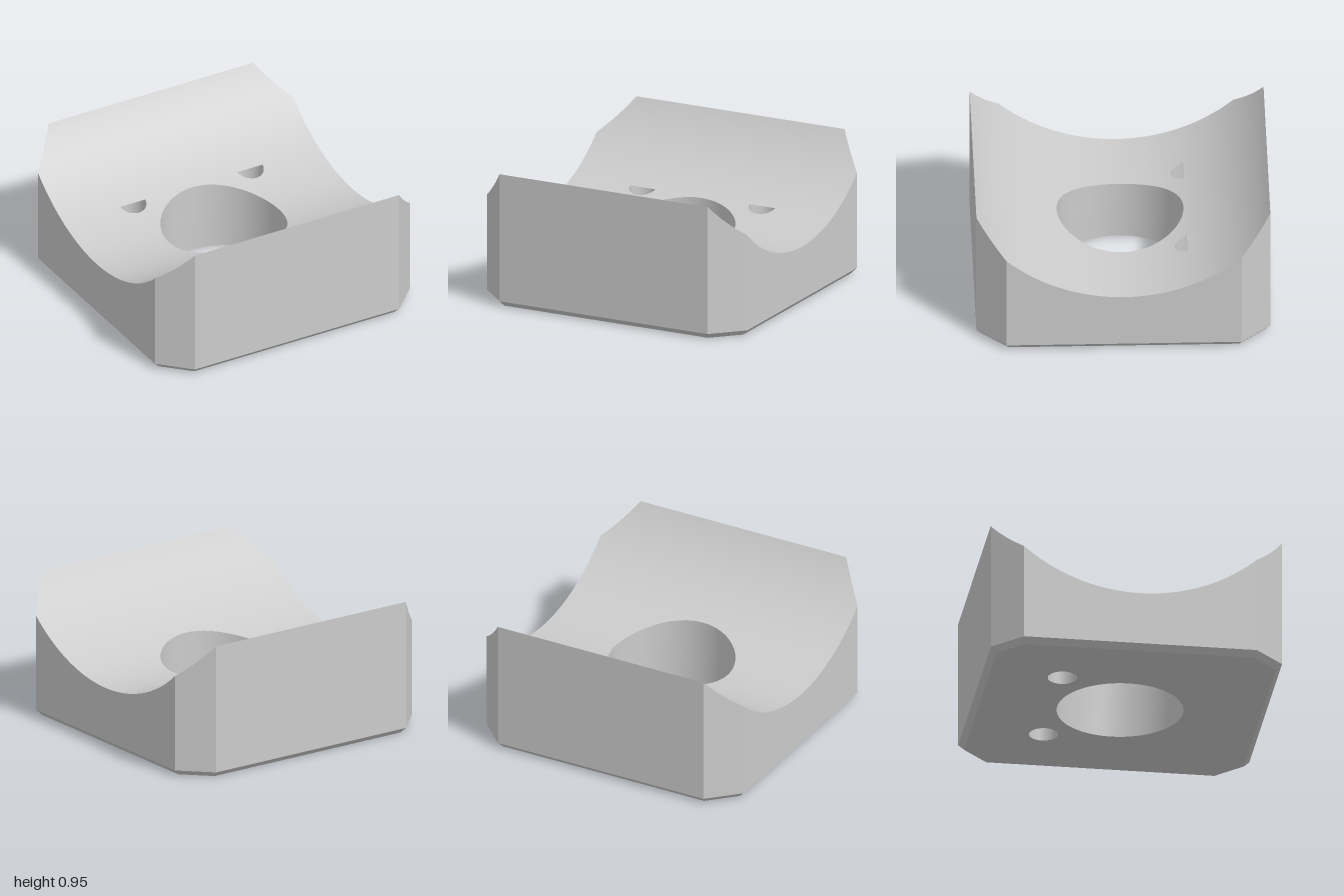
import * as THREE from 'three';
import { mergeGeometries, mergeVertices } from 'three/addons/utils/BufferGeometryUtils.js';

const LOW = 0.415, R = 1.208, YC = LOW + R;          // cylindrical cradle
const CHAMFER = 0.04, CORNER = 0.2;                  // bottom bevel, cut corners
const BORE = 0.432;                                  // central through hole
const PIN = { x: 0.46, z: -0.46, r: 0.1, depth: 0.5 }; // blind holes from below
const PIN_EDGE = -Math.sqrt(R * R - (YC - PIN.depth) ** 2); // where cradle meets the pin hole ends

const cradleY = z => YC - Math.sqrt(R * R - z * z);
const v = (x, y, z) => new THREE.Vector3(x, y, z);
const chord = (r, d) => Math.sqrt(Math.max(0, r * r - d * d));

// Ruled strip between two point rows; faces along (row direction) x (a to b)
function strip(a, b, smooth = false) {
  const pos = [];
  for (let i = 0; i < a.length - 1; i++) {
    for (const p of [a[i], a[i + 1], b[i + 1], a[i], b[i + 1], b[i]]) pos.push(p.x, p.y, p.z);
  }
  let g = new THREE.BufferGeometry();
  g.setAttribute('position', new THREE.Float32BufferAttribute(pos, 3));
  if (smooth) g = mergeVertices(g, 1e-5);
  g.computeVertexNormals();
  return g;
}

// Octagonal plan, anticlockwise from above, inset from the full size
function octagon(inset) {
  const w = 1 - inset, c = 1 - CORNER - inset * Math.tan(Math.PI / 8);
  return [[-c, w], [c, w], [w, c], [w, -c], [c, -w], [-c, -w], [-w, -c], [-w, c]];
}

function circle(cx, cz, r, n) {
  return Array.from({ length: n + 1 }, (_, i) => {
    const t = -i / n * Math.PI * 2;
    return [cx + r * Math.sin(t), cz + r * Math.cos(t)];
  });
}

// Outer walls rising to the cradle curve, and the bevel beneath them
function sideGeometry() {
  const outer = octagon(0), inner = octagon(CHAMFER), parts = [];
  outer.forEach((p, i) => {
    const j = (i + 1) % 8, q = outer[j], low = [], high = [];
    for (let k = 0; k <= 48; k++) {
      const x = p[0] + (q[0] - p[0]) * k / 48, z = p[1] + (q[1] - p[1]) * k / 48;
      low.push(v(x, CHAMFER, z));
      high.push(v(x, cradleY(z), z));
    }
    parts.push(strip(low, high));
    parts.push(strip(
      [v(inner[i][0], 0, inner[i][1]), v(inner[j][0], 0, inner[j][1])],
      [v(p[0], CHAMFER, p[1]), v(q[0], CHAMFER, q[1])]));
  });
  return mergeGeometries(parts);
}

// Curved top, laid in z rows around the openings
function cradleGeometry() {
  const zs = [-1, -0.8, PIN_EDGE, 0.8, 1];
  for (let k = 0; k <= 48; k++) zs.push(-1 + k / 24);
  for (let k = 0; k <= 32; k++) zs.push(BORE * Math.cos(k * Math.PI / 32));
  for (let k = 0; k <= 16; k++) zs.push(PIN.z + PIN.r * Math.cos(k * Math.PI / 16));
  zs.sort((a, b) => a - b);
  const width = z => Math.min(1, 2 - CORNER - Math.abs(z));
  const parts = [];
  for (const open of [false, true]) {
    const rows = zs.filter(z => open ? z >= PIN_EDGE : z <= PIN_EDGE);
    const gap = z => open ? chord(PIN.r, z - PIN.z) : 0;
    const columns = [
      [z => chord(BORE, z), z => PIN.x - gap(z)],
      [z => PIN.x + gap(z), width],
    ];
    for (const [near, far] of columns) for (const s of [1, -1]) {
      const a = rows.map(z => v(s * near(z), cradleY(z), z));
      const b = rows.map(z => v(s * far(z), cradleY(z), z));
      parts.push(s > 0 ? strip(a, b) : strip(b, a));
    }
  }
  const g = mergeGeometries(parts), p = g.attributes.position, n = g.attributes.normal;
  for (let i = 0; i < p.count; i++) n.setXYZ(i, 0, (YC - p.getY(i)) / R, -p.getZ(i) / R);
  return g;
}

// Flat underside with three openings
function baseGeometry() {
  const toV2 = pts => pts.map(([x, z]) => new THREE.Vector2(x, z));
  const shape = new THREE.Shape(toV2(octagon(CHAMFER)));
  const holes = [circle(0, 0, BORE, 64), ...[-1, 1].map(s => circle(s * PIN.x, PIN.z, PIN.r, 32))];
  for (const h of holes) shape.holes.push(new THREE.Path(toV2(h.slice(0, -1))));
  return new THREE.ShapeGeometry(shape).rotateX(Math.PI / 2);
}

// Inward-facing hole wall, cut off by the cradle or by a ceiling
function holeWall(cx, cz, r, n, ceiling) {
  const ring = circle(cx, cz, r, n);
  return strip(ring.map(([x, z]) => v(x, 0, z)),
    ring.map(([x, z]) => v(x, Math.min(ceiling, cradleY(z)), z)), true);
}

// Flat end of a blind hole, covering the part below the cradle surface
function pinCeiling(cx) {
  const left = [], right = [], z0 = PIN.z - PIN.r;
  for (let k = 0; k <= 24; k++) {
    const z = z0 + (PIN_EDGE - z0) * (1 - Math.cos(k * Math.PI / 48));
    const a = chord(PIN.r, z - PIN.z);
    left.push(v(cx - a, PIN.depth, z));
    right.push(v(cx + a, PIN.depth, z));
  }
  return strip(right, left);
}

export function createModel() {
  const group = new THREE.Group();
  group.name = 'cradleBlock';
  const material = new THREE.MeshStandardMaterial({ color: 0xcccccc });
  const add = (name, geometry) => {
    const mesh = new THREE.Mesh(geometry, material);
    mesh.name = name;
    group.add(mesh);
  };
  add('sideWalls', sideGeometry());
  add('cradleSurface', cradleGeometry());
  add('base', baseGeometry());
  add('centralBore', holeWall(0, 0, BORE, 64, 2));
  for (const [side, s] of [['left', 1], ['right', -1]]) {
    add(side + 'PinHole', holeWall(s * PIN.x, PIN.z, PIN.r, 32, PIN.depth));
    add(side + 'PinHoleEnd', pinCeiling(s * PIN.x));
  }
  return group;
}
